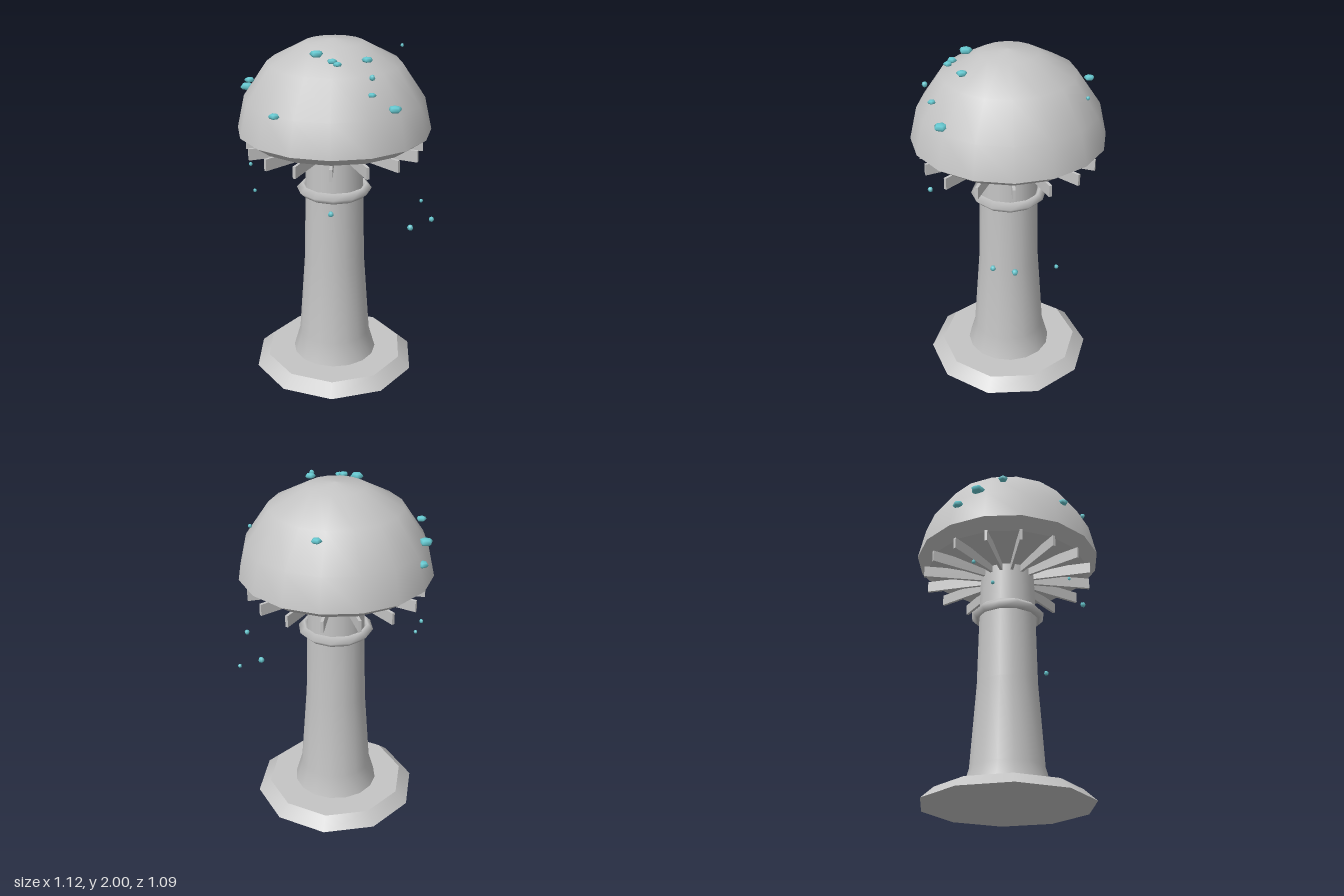
import * as THREE from 'three';

export function createModel() {
  const model = new THREE.Group();
  const stone = new THREE.MeshStandardMaterial({ color: 0xc4c4c4 });
  stone.name = 'stone grey';
  const teal = new THREE.MeshStandardMaterial({ color: 0x66c8d0 });
  teal.name = 'glowing teal';

  const body = new THREE.Group();
  body.name = 'mushroom';
  body.position.x = -0.016;
  model.add(body);

  function add(parent, name, geometry, material) {
    const mesh = new THREE.Mesh(geometry, material);
    mesh.name = name;
    parent.add(mesh);
    return mesh;
  }
  // profile points run from bottom to top so faces point outwards
  const lathe = (points, sides) =>
    new THREE.LatheGeometry(points.map(([r, y]) => new THREE.Vector2(r, y)), sides);

  // ten-sided foot
  add(body, 'base', new THREE.CylinderGeometry(0.415, 0.488, 0.066, 10), stone)
    .position.y = 0.033;

  // flared stem
  add(body, 'stem', lathe([
    [0.252, 0.06], [0.212, 0.2], [0.177, 0.69], [0.167, 1.15], [0.16, 1.43],
  ], 16), stone);

  // ring around the stem
  const ring = add(body, 'stemRing', new THREE.TorusGeometry(0.185, 0.032, 4, 12), stone);
  ring.rotation.x = Math.PI / 2;
  ring.position.y = 1.13;

  // dome and its underside, kept apart for sharp rims
  add(body, 'cap', lathe([
    [0.545, 1.49], [0.503, 1.675], [0.37, 1.87], [0.163, 1.98], [0, 2],
  ], 16), stone);
  add(body, 'capRim', lathe([[0.47, 1.437], [0.545, 1.49]], 16), stone);
  add(body, 'capUnderside', lathe([[0, 1.385], [0.47, 1.437]], 16), stone);

  // radial gills
  const gills = new THREE.Group();
  gills.name = 'gills';
  body.add(gills);
  for (let i = 0; i < 16; i++) {
    const geometry = new THREE.BoxGeometry(0.36, 0.066, 0.016);
    geometry.translate(0.322, 1.393, 0);
    add(gills, 'gill', geometry, stone).rotation.y = (i / 16) * Math.PI * 2;
  }

  // flattened cap spots: x, y, z, radius
  const spots = [
    [0.02, 1.84, -0.43, 0.03], [-0.5, 1.63, -0.17, 0.035],
    [-0.507, 1.71, -0.055, 0.041], [-0.472, 1.785, 0.085, 0.029],
    [-0.1, 1.962, 0.225, 0.038], [-0.016, 1.942, 0.3, 0.028],
    [0.012, 1.932, 0.322, 0.025], [0.165, 1.94, 0.25, 0.031],
    [0.31, 1.71, 0.365, 0.039], [0.19, 1.797, 0.41, 0.023],
    [-0.31, 1.677, 0.4, 0.032],
  ];
  // floating motes: x, y, z, radius
  const motes = [
    [0.368, 1.877, -0.375, 0.011], [0.505, 0.955, -0.228, 0.012],
    [0.543, 0.985, 0.115, 0.016], [0.19, 1.895, 0.44, 0.016],
    [-0.507, 1.24, -0.07, 0.012], [-0.475, 1.115, 0.03, 0.011],
    [-0.018, 1.155, 0.45, 0.016], [0.432, 0.873, -0.01, 0.019],
    [0.125, 1.415, 0.35, 0.013],
  ];
  const scatter = (list, name, squash) => list.forEach(([x, y, z, r], i) => {
    const mesh = add(model, name, new THREE.SphereGeometry(r, 5, 4), teal);
    mesh.position.set(x, y, z);
    mesh.scale.y = squash;
    mesh.rotation.y = i * 0.9;
  });
  scatter(spots, 'capSpot', 0.5);
  scatter(motes, 'floatingSpore', 1);

  return model;
}
